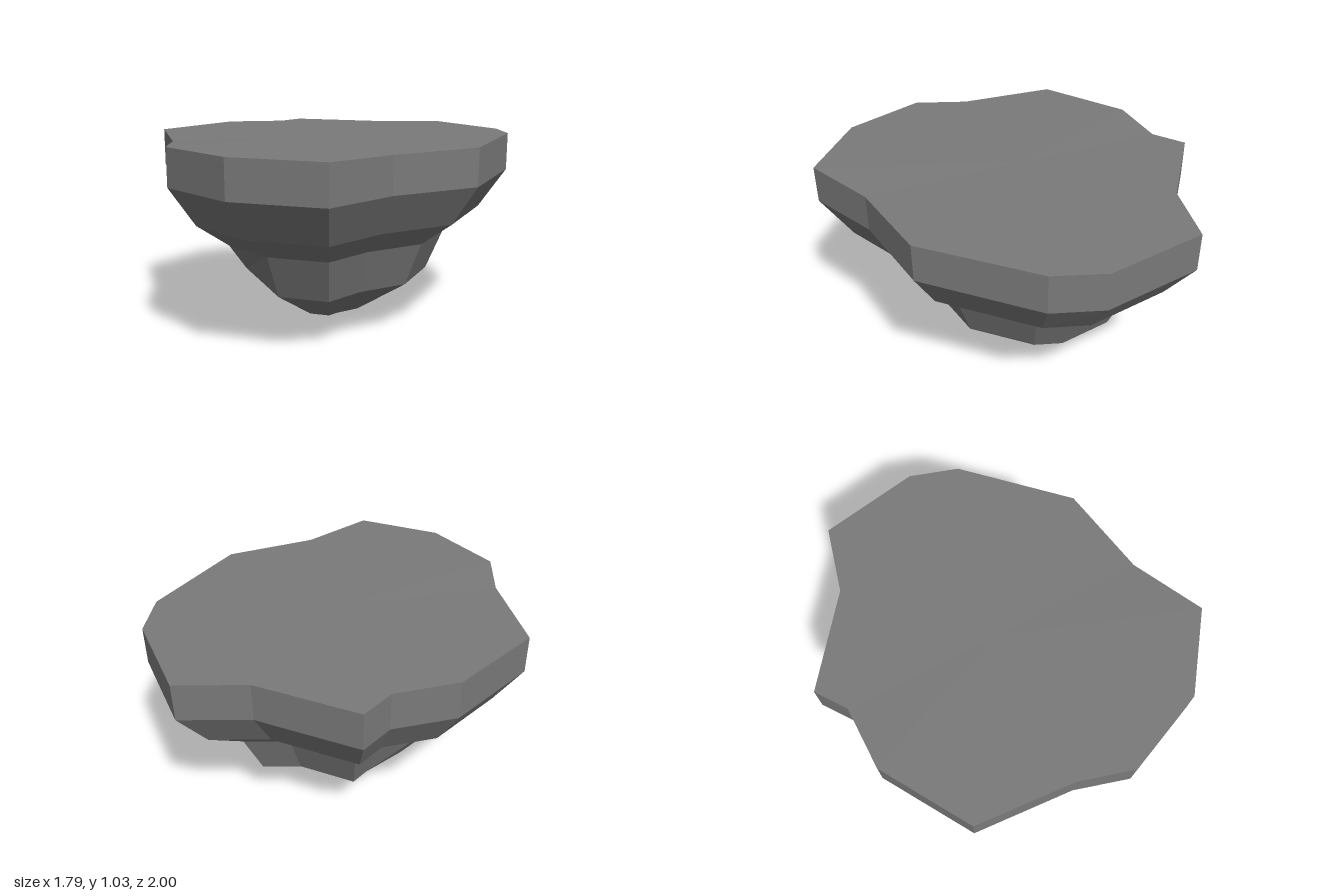
import * as THREE from 'three';

// Ground outline (x, z, rim height), star-shaped about the axis, clockwise from the back
const OUTLINE = [
  [0.35, -1.0, 1.016], [0.78, -0.7, 1.018], [0.895, -0.465, 1.022], [0.893, 0.17, 1.02],
  [0.6, 0.563, 1.018], [0.455, 0.942, 1.028], [-0.01, 0.998, 1.03], [-0.435, 0.815, 1.028],
  [-0.57, 0.56, 1.019], [-0.9, 0.165, 1.025], [-0.77, -0.34, 1.028], [-0.535, -0.57, 1.022],
  [-0.5, -0.755, 1.02], [0.04, -0.82, 1.02],
];
const AXIS = [0.03, -0.025];

// Rings below the ground edge: outline scale, height, extra height on the raised flank, tilt along z
const RINGS = [
  [1, 0.828, 0, 0.007],
  [0.85, 0.625, 0, 0.005],
  [0.66, 0.502, 0, 0],
  [0.557, 0.272, 0.095, 0],
  [0.222, 0.078, 0.042, 0],
];
const isRaised = (i) => i >= 7 && i <= 10;

function ringPoints([scale, height, lift, tilt]) {
  return OUTLINE.map(([x, z], i) => [
    AXIS[0] + (x - AXIS[0]) * scale,
    height + (isRaised(i) ? lift : 0) + tilt * z,
    AXIS[1] + (z - AXIS[1]) * scale,
  ]);
}

function facetedMesh(name, triangles) {
  const geometry = new THREE.BufferGeometry();
  geometry.setAttribute('position', new THREE.Float32BufferAttribute(triangles.flat(2), 3));
  geometry.computeVertexNormals();
  const material = new THREE.MeshStandardMaterial({ color: 0x7a7a7a, flatShading: true });
  const mesh = new THREE.Mesh(geometry, material);
  mesh.name = name;
  return mesh;
}

export function createModel() {
  const group = new THREE.Group();
  group.name = 'floatingIslandRock';

  const edge = OUTLINE.map(([x, z, y]) => [x, y, z]);
  const rings = [edge, ...RINGS.map(ringPoints)];
  const n = OUTLINE.length;
  const top = [], rim = [], underside = [];
  const centre = [AXIS[0], 1.022, 0];
  const tip = [AXIS[0], 0, AXIS[1]];

  for (let i = 0; i < n; i++) {
    const j = (i + 1) % n;
    // Nearly flat ground fan
    top.push([centre, edge[j], edge[i]]);
    // Upright rim first, then the tapering rock bands
    for (let r = 0; r < rings.length - 1; r++) {
      const upper = rings[r], lower = rings[r + 1];
      (r === 0 ? rim : underside).push(
        [lower[i], upper[i], lower[j]],
        [upper[i], upper[j], lower[j]],
      );
    }
    // Pointed bottom
    const last = rings[rings.length - 1];
    underside.push([tip, last[i], last[j]]);
  }

  group.add(
    facetedMesh('groundTop', top),
    facetedMesh('groundRim', rim),
    facetedMesh('rockUnderside', underside),
  );
  return group;
}
